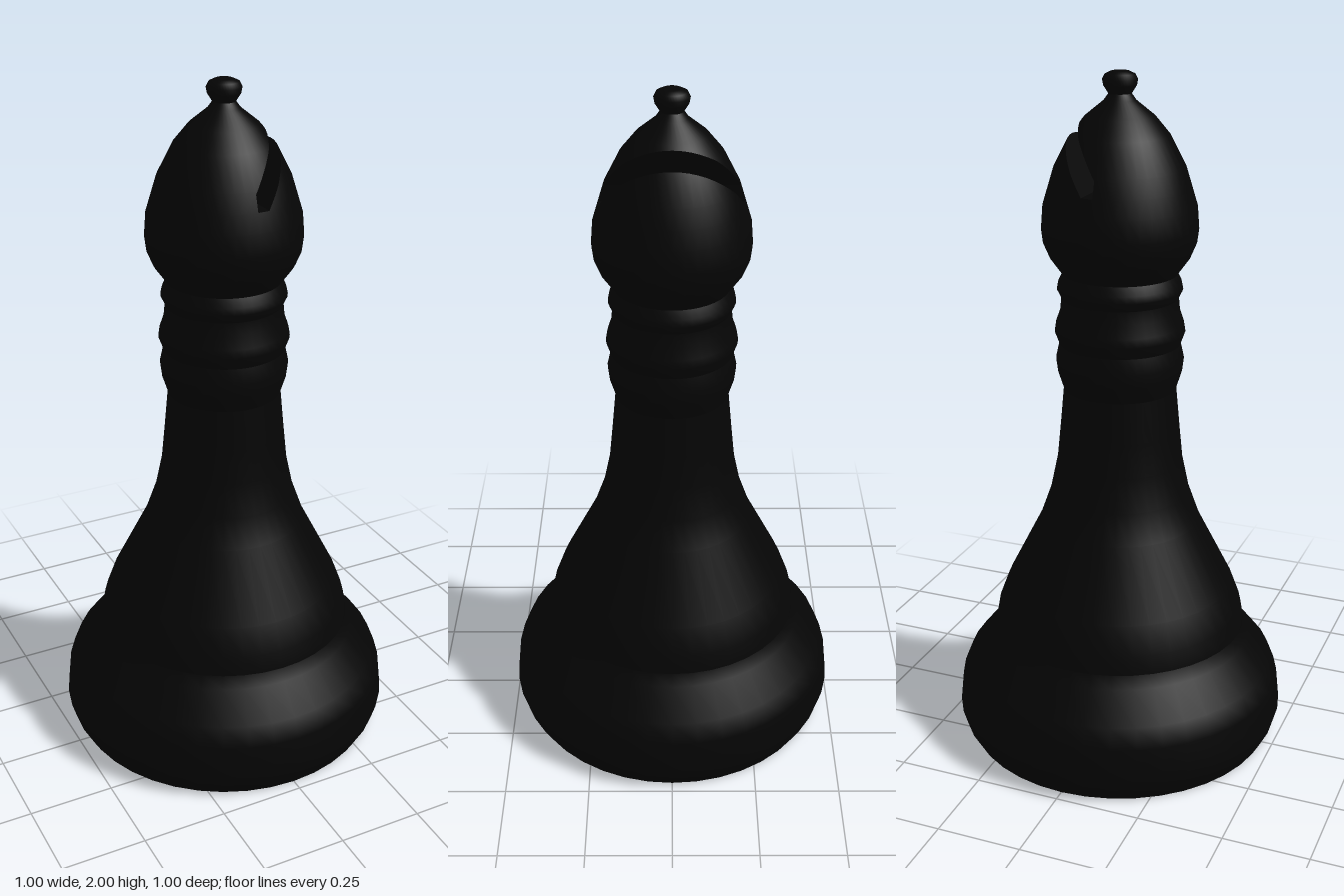
import * as THREE from 'three';

const SIDES = 40;
// The piece is an open shell underneath, so its inside shows too
const black = new THREE.MeshStandardMaterial({ color: 0x050505, side: THREE.DoubleSide });
black.name = 'black';

// Half profiles as [radius, height], from the bottom up
const profiles = {
  base: [[0.465, 0], [0.485, 0.035], [0.498, 0.08], [0.488, 0.175], [0.465, 0.233], [0.397, 0.317], [0.38, 0.354]],
  body: [[0.38, 0.354], [0.37, 0.41], [0.34, 0.49], [0.238, 0.69], [0.206, 0.78], [0.185, 0.88], [0.175, 0.98], [0.164, 1.1]],
  lowerCollar: [[0.164, 1.1], [0.18, 1.15], [0.185, 1.19], [0.175, 1.235]],
  middleCollar: [[0.175, 1.235], [0.188, 1.27], [0.184, 1.295], [0.172, 1.33], [0.168, 1.37]],
  upperCollar: [[0.168, 1.37], [0.18, 1.395], [0.176, 1.415], [0.164, 1.44]],
  finial: [[0.032, 1.94], [0.046, 1.962], [0.049, 1.978], [0.042, 1.992], [0.025, 2], [0, 2]],
};
const headProfile = [[0.164, 1.44], [0.2, 1.49], [0.217, 1.53], [0.222, 1.57], [0.217, 1.635],
  [0.185, 1.74], [0.14, 1.828], [0.097, 1.88], [0.045, 1.922], [0.032, 1.94]];

// Convex outline of the slot, counter-clockwise in x and y; it runs out past the head
const slot = [[0, 1.687], [0.035, 1.687], [0.195, 1.894], [0.16, 1.94], [0, 1.733]];

const lathe = (points) => new THREE.LatheGeometry(points.map(([r, y]) => new THREE.Vector2(r, y)), SIDES);

function addMesh(group, name, geometry) {
  const mesh = new THREE.Mesh(geometry, black);
  mesh.name = name;
  group.add(mesh);
}

// Part of a polygon on one side of the line a-b (sign 1 is left, -1 is right)
function clip(poly, a, b, sign) {
  const side = (p) => sign * ((b[0] - a[0]) * (p[1] - a[1]) - (b[1] - a[1]) * (p[0] - a[0]));
  const out = [];
  poly.forEach((p, i) => {
    const q = poly[(i + 1) % poly.length];
    const sp = side(p), sq = side(q);
    if (sp >= 0) out.push(p);
    if (sp * sq < 0) out.push(p.map((v, k) => v + (q[k] - v) * sp / (sp - sq)));
  });
  return out;
}

function toGeometry(vertices) {
  const geometry = new THREE.BufferGeometry();
  geometry.setAttribute('position', new THREE.Float32BufferAttribute(vertices.flatMap((v) => v.slice(0, 3)), 3));
  geometry.setAttribute('normal', new THREE.Float32BufferAttribute(vertices.flatMap((v) => v.slice(3)), 3));
  return geometry;
}

// Head surface with the slot cut away
function headGeometry() {
  const source = lathe(headProfile).toNonIndexed();
  const pos = source.attributes.position, nor = source.attributes.normal;
  const vertex = (i) => [pos.getX(i), pos.getY(i), pos.getZ(i), nor.getX(i), nor.getY(i), nor.getZ(i)];
  const out = [];
  for (let i = 0; i < pos.count; i += 3) {
    let rest = [vertex(i), vertex(i + 1), vertex(i + 2)];
    slot.forEach((a, k) => {
      const b = slot[(k + 1) % slot.length];
      const kept = clip(rest, a, b, -1);
      for (let j = 1; j < kept.length - 1; j++) out.push(kept[0], kept[j], kept[j + 1]);
      rest = clip(rest, a, b, 1);
    });
  }
  return toGeometry(out);
}

// Half depth in z of the many-sided head at a point of the front plane
function halfDepth(x, y) {
  const i = headProfile.findIndex((p) => p[1] >= y);
  if (i < 1) return 0;
  const [r0, y0] = headProfile[i - 1], [r1, y1] = headProfile[i];
  const r = r0 + (r1 - r0) * (y - y0) / (y1 - y0);
  if (Math.abs(x) >= r) return 0;
  const step = Math.PI * 2 / SIDES;
  const k = Math.floor(Math.asin(Math.abs(x) / r) / step) * step;
  const xa = r * Math.sin(k), xb = r * Math.sin(k + step);
  const t = (Math.abs(x) - xa) / (xb - xa);
  return r * (Math.cos(k) + (Math.cos(k + step) - Math.cos(k)) * t);
}

// Flat walls inside the slot, trimmed to the head
function slotGeometry() {
  const out = [], steps = 80;
  slot.forEach((a, k) => {
    if (k === 2) return; // open mouth
    const b = slot[(k + 1) % slot.length];
    const dx = b[0] - a[0], dy = b[1] - a[1], length = Math.hypot(dx, dy);
    const corner = (s, sign) => {
      const x = a[0] + dx * s / steps, y = a[1] + dy * s / steps;
      return [x, y, sign * halfDepth(x, y), -dy / length, dx / length, 0];
    };
    for (let s = 0; s < steps; s++) {
      const p = corner(s, -1), q = corner(s, 1), u = corner(s + 1, -1), v = corner(s + 1, 1);
      if (q[2] === 0 || v[2] === 0) continue;
      out.push(p, v, u, p, q, v);
    }
  });
  return toGeometry(out);
}

export function createModel() {
  const model = new THREE.Group();
  model.name = 'bishopChessPiece';

  // Turned parts
  for (const [name, points] of Object.entries(profiles)) addMesh(model, name, lathe(points));

  // Slotted head
  const head = new THREE.Group();
  head.name = 'head';
  addMesh(head, 'headSurface', headGeometry());
  addMesh(head, 'slotWalls', slotGeometry());
  model.add(head);

  return model;
}
